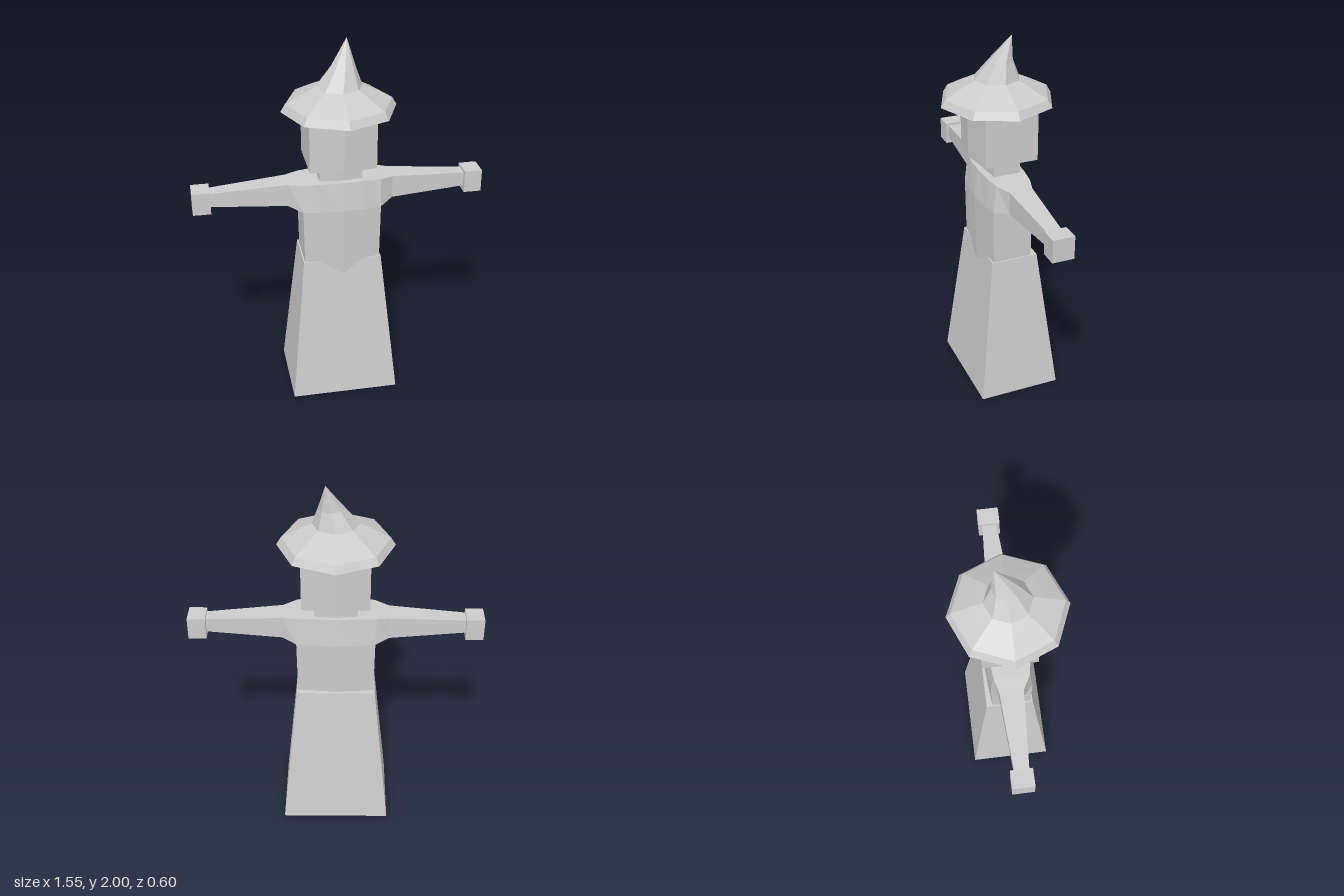
import * as THREE from 'three';

const material = new THREE.MeshStandardMaterial({ color: 0xcccccc, flatShading: true });

// Skin a list of rings (arrays of [x, y, z]) and cap both ends.
function loft(name, rings) {
  const pos = [];
  const tri = (a, b, c) => pos.push(...a, ...b, ...c);
  const n = rings[0].length;
  for (let i = 0; i < rings.length - 1; i++) {
    for (let j = 0; j < n; j++) {
      const k = (j + 1) % n;
      const [a, b, c, d] = [rings[i][j], rings[i][k], rings[i + 1][k], rings[i + 1][j]];
      tri(a, b, c);
      tri(a, c, d);
    }
  }
  const first = rings[0], last = rings[rings.length - 1];
  for (let j = 1; j < n - 1; j++) {
    tri(first[0], first[j + 1], first[j]);
    tri(last[0], last[j], last[j + 1]);
  }
  const geometry = new THREE.BufferGeometry();
  geometry.setAttribute('position', new THREE.Float32BufferAttribute(pos, 3));
  geometry.computeVertexNormals();
  const mesh = new THREE.Mesh(geometry, material);
  mesh.name = name;
  return mesh;
}

// Horizontal rings, listed from the front around by +x.
const rect = (y, x, front, back) =>
  [[-x, y, front], [x, y, front], [x, y, back], [-x, y, back]];
const hexagon = (y, x, front, back, bulge) => [
  [0, y, front + bulge], [x, y, front], [x, y, back],
  [0, y, back - bulge], [-x, y, back], [-x, y, front],
];
const octagon = (y, r, cx = 0, cz = 0) => Array.from({ length: 8 }, (_, i) => {
  const a = i * Math.PI / 4;
  return [cx + r * Math.sin(a), y, cz + r * Math.cos(a)];
});
const waist = (y, x, s) => [
  [0, y, 0.125 * s], [0.12, y, 0.114 * s], [x, y, 0.103 * s],
  [x, y, -0.116 * s], [0.12, y, -0.126 * s], [0, y, -0.134 * s],
  [-0.12, y, -0.126 * s], [-x, y, -0.116 * s], [-x, y, 0.103 * s], [-0.12, y, 0.114 * s],
];

export function createModel() {
  const group = new THREE.Group();
  group.name = 'robedFigure';

  // Robe skirt and the torso that sinks into it
  group.add(loft('skirt', [rect(0, 0.293, 0.203, -0.245), rect(0.82, 0.21, 0.11, -0.145)]));
  group.add(loft('torso', [waist(0.7, 0.2, 0.95), waist(0.82, 0.203, 0.965), waist(1.12, 0.207, 1)]));

  // Shoulders and sleeves, one skin from hand to hand:
  // [x, bottom y, top y, bottom front z, top front z, bottom back z, top back z]
  const half = [
    [0, 1.12, 1.275, 0.125, 0.105, -0.134, -0.116],
    [0.12, 1.12, 1.275, 0.114, 0.1, -0.126, -0.11],
    [0.207, 1.12, 1.27, 0.103, 0.085, -0.116, -0.1],
    [0.28, 1.14, 1.262, 0.045, 0.045, -0.08, -0.08],
    [0.69, 1.16, 1.235, 0.02, 0.02, -0.055, -0.055],
  ];
  const sections = [
    ...half.slice(1).reverse().map(([x, ...rest]) => [-x, ...rest]),
    ...half,
  ];
  group.add(loft('shouldersAndArms', sections.map(([x, yb, yt, fb, ft, bb, bt]) =>
    [[x, yb, bb], [x, yt, bt], [x, yt, ft], [x, yb, fb]])));

  // Hands
  for (const side of [-1, 1]) {
    const hand = new THREE.Mesh(new THREE.BoxGeometry(0.095, 0.122, 0.115), material);
    hand.position.set(side * 0.7275, 1.188, -0.019);
    hand.name = side > 0 ? 'leftHand' : 'rightHand';
    group.add(hand);
  }

  // Neck and head
  group.add(loft('neck', [hexagon(1.26, 0.113, 0.06, -0.084, 0.012), hexagon(1.36, 0.113, 0.06, -0.084, 0.012)]));
  group.add(loft('head', [
    hexagon(1.343, 0.118, 0.07, -0.095, 0.015),
    hexagon(1.362, 0.175, 0.132, -0.155, 0.028),
    hexagon(1.68, 0.175, 0.132, -0.155, 0.028),
  ]));

  // Hat: drooping brim and bent pointed crown
  group.add(loft('hat', [
    octagon(1.652, 0.3),
    octagon(1.692, 0.276),
    octagon(1.738, 0.19),
    octagon(1.772, 0.12),
    octagon(1.865, 0.066, 0.022, -0.012),
    octagon(2.0, 0.001, 0.05, -0.058),
  ]));

  return group;
}
